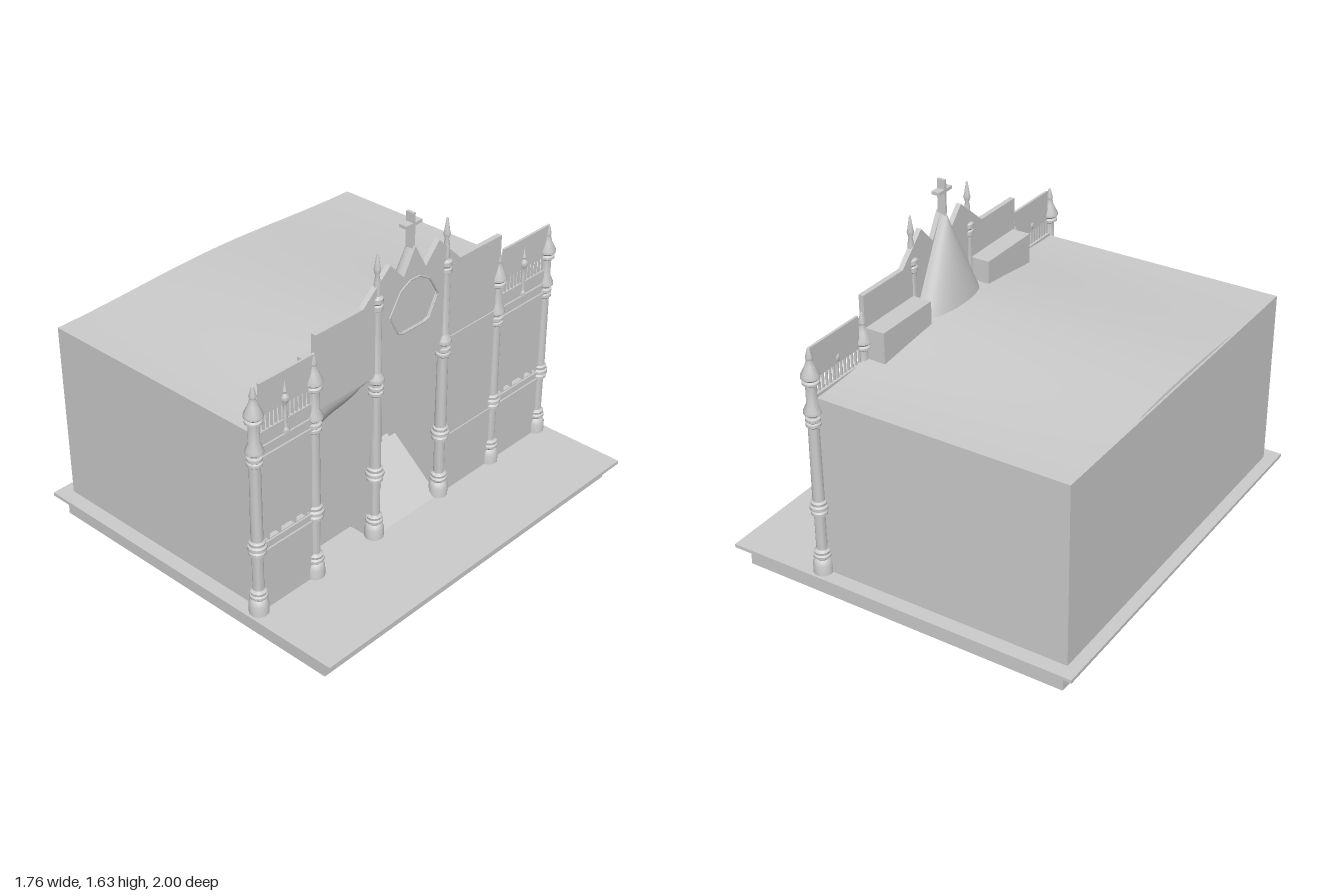
import * as THREE from 'three';
import { toCreasedNormals } from 'three/addons/utils/BufferGeometryUtils.js';

const grey = new THREE.MeshStandardMaterial({ color: 0xcccccc });
const greyDouble = new THREE.MeshStandardMaterial({ color: 0xcccccc, side: THREE.DoubleSide });

export function createModel() {
  const model = new THREE.Group();

  const add = (name, geometry, material = grey, parent = model) => {
    const mesh = new THREE.Mesh(geometry, material);
    mesh.name = name;
    parent.add(mesh);
    return mesh;
  };

  // Box given by its limits on each axis
  const box = (name, x0, x1, y0, y1, z0, z1, parent) => {
    const mesh = add(name, new THREE.BoxGeometry(x1 - x0, y1 - y0, z1 - z0), grey, parent);
    mesh.position.set((x0 + x1) / 2, (y0 + y1) / 2, (z0 + z1) / 2);
    return mesh;
  };

  // Upright panel drawn in (-z, y) and extruded along x
  const panel = (name, shape, x0, x1, parent) => {
    const geometry = new THREE.ExtrudeGeometry(shape, { depth: x1 - x0, bevelEnabled: false, curveSegments: 12 });
    geometry.rotateY(Math.PI / 2).translate(x0, 0, 0);
    return add(name, geometry, grey, parent);
  };

  // Smooth sheet: rule(u, v) gives [x, y, z]
  const sheet = (name, nu, nv, rule) => {
    const geometry = new THREE.PlaneGeometry(1, 1, nu, nv);
    const p = geometry.attributes.position;
    for (let i = 0; i < p.count; i++) p.setXYZ(i, ...rule(p.getX(i) + 0.5, p.getY(i) + 0.5));
    geometry.computeVertexNormals();
    return add(name, geometry, greyDouble);
  };
  const points = (list) => list.map(([a, b]) => new THREE.Vector2(a, b));
  const lerp = THREE.MathUtils.lerp;

  // Stepped base
  box('plinth', -0.82, 0.82, 0, 0.08, -0.965, 0.965);
  box('plinthMoulding', -0.85, 0.85, 0.075, 0.09, -0.98, 0.98);
  box('baseSlab', -0.88, 0.88, 0.088, 0.105, -1, 1);

  // Main hall: walls and gently swelling roof
  box('backWall', -0.82, -0.81, 0.1, 0.985, -0.93, 0.93);
  box('leftSideWall', -0.82, 0.41, 0.1, 0.985, 0.92, 0.93);
  box('rightSideWall', -0.82, 0.41, 0.1, 0.985, -0.93, -0.92);
  sheet('roof', 16, 32, (u, v) => {
    const z = lerp(0.93, -0.93, v);
    const swell = (0.03 + 0.04 * u) * (0.5 + 0.5 * Math.cos((Math.PI * z) / 0.93));
    return [lerp(-0.82, 0.41, u), 0.985 + swell, z];
  });

  // Central facade with stepped gable, portal and open left bay
  const front = new THREE.Shape(points([[-0.6, 0.95], [-0.25, 0.95], [-0.25, 0.1], [-0.2, 0.1], [-0.2, 0.885]]));
  front.quadraticCurveTo(0, 0.975, 0.2, 0.885);
  for (const [a, b] of [[0.2, 0.1], [0.585, 0.1], [0.585, 1.31], [0.3, 1.31], [0.155, 1.45], [0.07, 1.36],
    [0, 1.48], [-0.07, 1.36], [-0.155, 1.45], [-0.32, 1.31], [-0.6, 1.31]]) front.lineTo(a, b);
  const rose = points([[-0.155, 1.2], [-0.09, 1.3], [-0.03, 1.33], [0.03, 1.33], [0.1, 1.29],
    [0.155, 1.2], [0.1, 1.1], [0.07, 1.09], [-0.07, 1.09], [-0.1, 1.1]]);
  front.holes.push(new THREE.Path(rose));
  panel('centralFacade', front, 0.405, 0.43);
  panel('roseWindowPane', new THREE.Shape(rose), 0.405, 0.418);
  const ring = new THREE.CurvePath();
  rose.forEach((a, i) => {
    const b = rose[(i + 1) % rose.length];
    ring.add(new THREE.LineCurve3(new THREE.Vector3(0.43, a.y, -a.x), new THREE.Vector3(0.43, b.y, -b.x)));
  });
  add('roseWindowFrame', new THREE.TubeGeometry(ring, 60, 0.005, 6, true));

  // Recessed portal: ramp, arched ceiling, sides and door
  sheet('portalRamp', 1, 1, (u, v) => [lerp(0.43, 0.15, v), lerp(0.105, 0.34, v), lerp(0.2, -0.2, u)]);
  sheet('portalCeiling', 16, 4, (u, v) => {
    const arch = 1 - (2 * u - 1) ** 2;
    return [lerp(0.42, 0.15, v), lerp(0.885, 0.785, v) + 0.045 * arch, lerp(0.2, -0.2, u)];
  });
  for (const s of [1, -1]) {
    box('portalSide', 0.15, 0.41, 0.1, 0.885, s > 0 ? 0.2 : -0.21, s > 0 ? 0.21 : -0.2);
    box('doorJamb', 0.15, 0.165, 0.33, 0.71, s > 0 ? 0.16 : -0.2, s > 0 ? 0.2 : -0.16);
  }
  box('portalBackWall', 0.135, 0.15, 0.1, 0.84, -0.21, 0.21);
  box('doorLintel', 0.15, 0.175, 0.705, 0.72, -0.2, 0.2);
  box('door', 0.15, 0.157, 0.35, 0.7, -0.155, 0.155);

  // Left bay: set-back wall under a curved hood
  box('bayBackWall', 0.285, 0.3, 0.1, 0.98, 0.24, 0.61);
  box('bayOuterSide', 0.3, 0.41, 0.1, 0.95, 0.6, 0.61);
  box('bayInnerSide', 0.3, 0.41, 0.1, 0.95, 0.24, 0.25);
  const hoodEdge = new THREE.SplineCurve(points([[0.6, 0.68], [0.5, 0.77], [0.37, 0.82], [0.29, 0.92], [0.25, 0.945]]));
  sheet('bayHood', 24, 10, (u, v) => {
    const e = hoodEdge.getPoint(u);
    return [0.43 - 0.13 * v * v, lerp(0.951, e.y, v), e.x];
  });

  // Buttress boxes and tent-like spire behind the gable
  box('leftRoofBlock', 0.31, 0.41, 0.97, 1.155, 0.23, 0.585);
  box('rightRoofBlock', 0.31, 0.41, 0.97, 1.155, -0.58, -0.23);
  sheet('spireBack', 24, 16, (u, v) => {
    const a = (u - 0.5) * Math.PI;
    const depth = 0.03 + 0.1 * (1 - v) ** 0.85;
    const c = Math.max(Math.cos(a), 0) ** 0.7;
    return [0.41 - depth * c, 1.0 + 0.48 * v, -0.24 * (1 - v) * Math.sin(a)];
  });

  // Cross on the gable
  const cross = new THREE.Group();
  cross.name = 'cross';
  model.add(cross);
  box('crossUpright', 0.38, 0.42, 1.46, 1.63, -0.007, 0.007, cross);
  box('crossArm', 0.38, 0.42, 1.57, 1.585, -0.05, 0.05, cross);

  // Small finial used at the middle of each side bay
  const finial = toCreasedNormals(new THREE.LatheGeometry(points([[0, 0.93], [0.016, 0.935], [0.016, 0.95], [0.009, 0.96],
    [0.012, 1.0], [0.009, 1.03], [0.009, 1.07], [0.018, 1.09], [0.018, 1.105], [0.008, 1.12],
    [0.012, 1.13], [0.005, 1.15], [0, 1.185]]), 10), 0.7);

  // Side bays: wall with barred window, balustrade and parapet panel
  for (const [name, z0, z1] of [['leftBay', 0.605, 0.945], ['rightBay', -0.945, -0.585]]) {
    const bay = new THREE.Group();
    bay.name = name;
    model.add(bay);
    const mid = (z0 + z1) / 2;
    const wall = new THREE.Shape(points([[-z1, 0.1], [-z0, 0.1], [-z0, 1], [-z1, 1]]));
    wall.holes.push(new THREE.Path(points([[-z1 + 0.04, 0.46], [-z0 - 0.04, 0.46], [-z0 - 0.04, 0.875], [-z1 + 0.04, 0.875]])));
    panel('bayWall', wall, 0.405, 0.43, bay);
    box('windowPane', 0.395, 0.407, 0.45, 0.89, z0 + 0.03, z1 - 0.03, bay);
    for (const t of [-0.11, -0.045, 0.045, 0.11]) {
      box('windowBar', 0.407, 0.43, 0.46, 0.875, mid + t - 0.006, mid + t + 0.006, bay);
    }
    for (const y of [0.41, 0.45, 0.88, 0.93]) box('bayMoulding', 0.42, 0.438, y - 0.006, y + 0.006, z0, z1, bay);
    for (let i = 0; i <= 12; i++) {
      const z = lerp(z0 + 0.03, z1 - 0.03, i / 12);
      box('baluster', 0.415, 0.425, 0.99, 1.075, z - 0.004, z + 0.004, bay);
    }
    box('parapetPanel', 0.414, 0.426, 1.07, 1.225, z0 + 0.005, z1 - 0.03, bay);
    add('bayFinial', finial, grey, bay).position.set(0.426, 0, mid);
  }
  // String courses on the plain right bay
  for (const y of [0.41, 0.935]) box('stringCourse', 0.42, 0.436, y - 0.006, y + 0.006, -0.585, -0.215);

  // Turned columns: shared lower part, then short or tall top
  const lower = [[0, 0.08], [0.044, 0.08], [0.044, 0.155], [0.036, 0.175], [0.03, 0.18], [0.04, 0.19], [0.04, 0.2],
    [0.033, 0.207], [0.037, 0.22], [0.025, 0.23], [0.025, 0.405], [0.037, 0.412], [0.037, 0.425], [0.03, 0.432],
    [0.042, 0.44], [0.042, 0.455], [0.034, 0.462], [0.036, 0.475], [0.027, 0.482], [0.025, 0.85], [0.034, 0.858],
    [0.034, 0.87], [0.026, 0.875], [0.034, 0.882], [0.034, 0.895], [0.024, 0.9]];
  const shortTop = [[0.024, 0.905], [0.04, 0.918], [0.04, 0.93], [0.024, 0.965], [0.024, 1.05], [0.038, 1.06],
    [0.038, 1.07], [0.03, 1.077], [0.042, 1.088], [0.042, 1.1], [0.022, 1.14], [0.014, 1.17], [0.017, 1.18], [0.006, 1.225], [0, 1.23]];
  const tallTop = [[0.024, 0.91], [0.038, 0.922], [0.038, 0.938], [0.022, 0.965], [0.022, 1.265], [0.028, 1.27],
    [0.028, 1.29], [0.021, 1.297], [0.028, 1.305], [0.028, 1.325], [0.015, 1.335], [0.014, 1.4], [0.009, 1.43],
    [0.016, 1.455], [0.012, 1.475], [0.004, 1.53], [0, 1.535]];
  const column = (top) => toCreasedNormals(new THREE.LatheGeometry(points([...lower, ...top]), 16), 0.6);
  const shortColumn = column(shortTop);
  const tallColumn = column(tallTop);
  for (const z of [0.945, 0.605, -0.585, -0.945]) add('sideColumn', shortColumn).position.set(0.42, 0, z);
  for (const z of [0.225, -0.215]) add('portalColumn', tallColumn).position.set(0.42, 0, z);

  return model;
}
